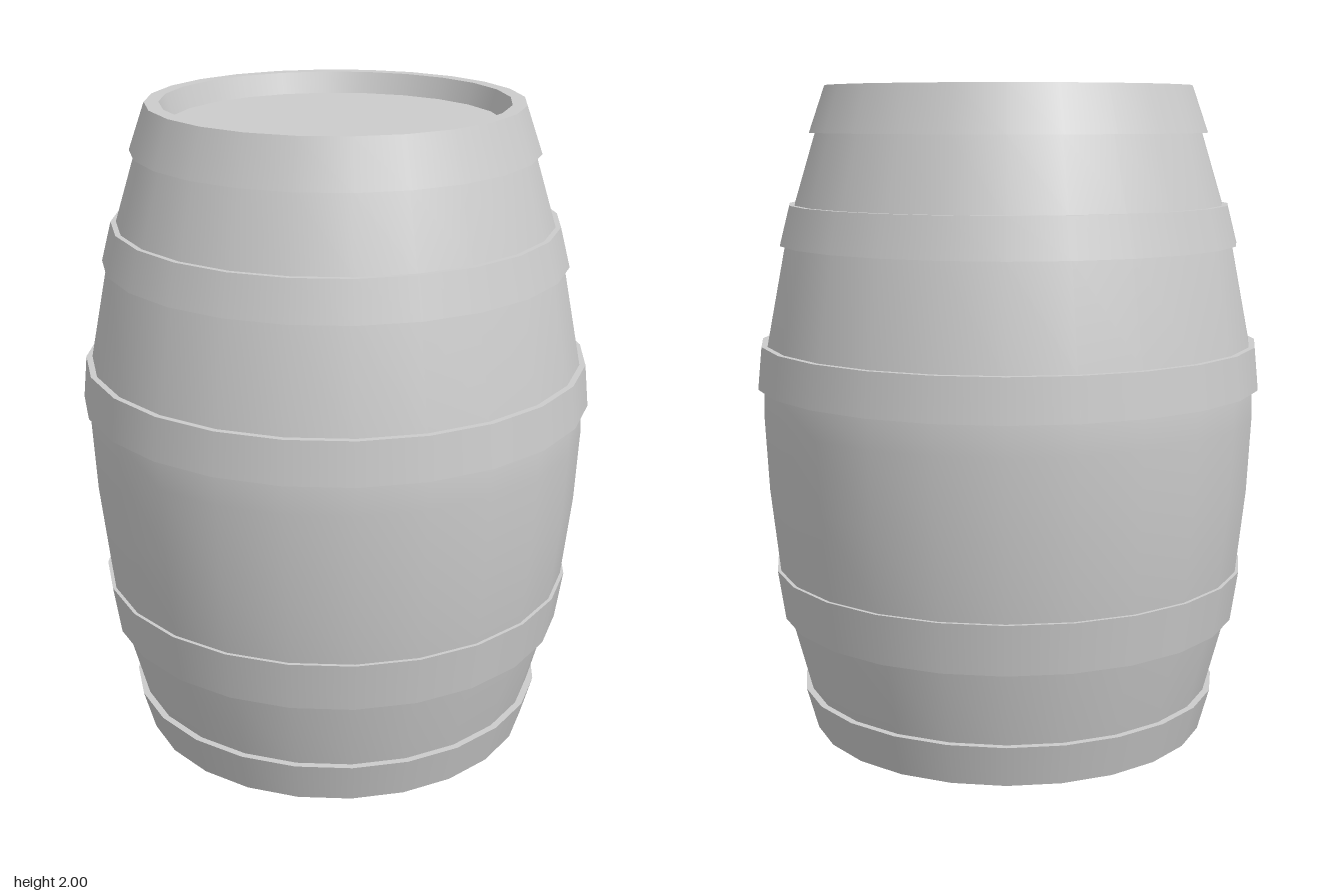
import * as THREE from 'three';

const SIDES = 24;

export function createModel() {
  const barrel = new THREE.Group();
  barrel.name = 'barrel';
  const grey = new THREE.MeshStandardMaterial({ color: 0xcccccc });
  grey.name = 'plain grey';

  // one smooth band of revolution; separate bands meet in a sharp edge
  const band = (name, profile, parent = barrel) => {
    const points = profile.map(([r, y]) => new THREE.Vector2(r, y));
    const mesh = new THREE.Mesh(new THREE.LatheGeometry(points, SIDES), grey);
    mesh.name = name;
    parent.add(mesh);
  };

  // bulging wall of staves
  band('staves', [
    [0.6, 0], [0.635, 0.13], [0.697, 0.365], [0.727, 0.52], [0.755, 0.78], [0.766, 1.0],
    [0.764, 1.09], [0.752, 1.22], [0.692, 1.525], [0.66, 1.645], [0.594, 1.86], [0.545, 2],
  ]);

  // rims and recessed heads at both ends
  band('topRim', [[0.56, 2], [0.52, 2]]);
  band('topInnerWall', [[0.52, 2], [0.5, 1.935]]);
  band('topHead', [[0.5, 1.935], [0, 1.935]]);
  band('bottomHead', [[0, 0.015], [0.57, 0.015]]);
  band('bottomInnerWall', [[0.57, 0.015], [0.585, 0]]);
  band('bottomRim', [[0.585, 0], [0.62, 0]]);

  // hoops: bottom radius and height, top radius and height
  const hoops = [
    ['bottomHoop', 0.62, 0, 0.656, 0.13],
    ['lowerHoop', 0.715, 0.365, 0.738, 0.52],
    ['middleHoop', 0.783, 1.092, 0.77, 1.222],
    ['upperHoop', 0.707, 1.525, 0.676, 1.645],
    ['topHoop', 0.612, 1.86, 0.563, 2],
  ];
  for (const [name, r0, y0, r1, y1] of hoops) {
    const hoop = new THREE.Group();
    hoop.name = name;
    band('hoopUnderside', [[r0 - 0.035, y0], [r0, y0]], hoop);
    band('hoopFace', [[r0, y0], [r1, y1]], hoop);
    band('hoopTopEdge', [[r1, y1], [r1 - 0.035, y1]], hoop);
    barrel.add(hoop);
  }
  return barrel;
}
